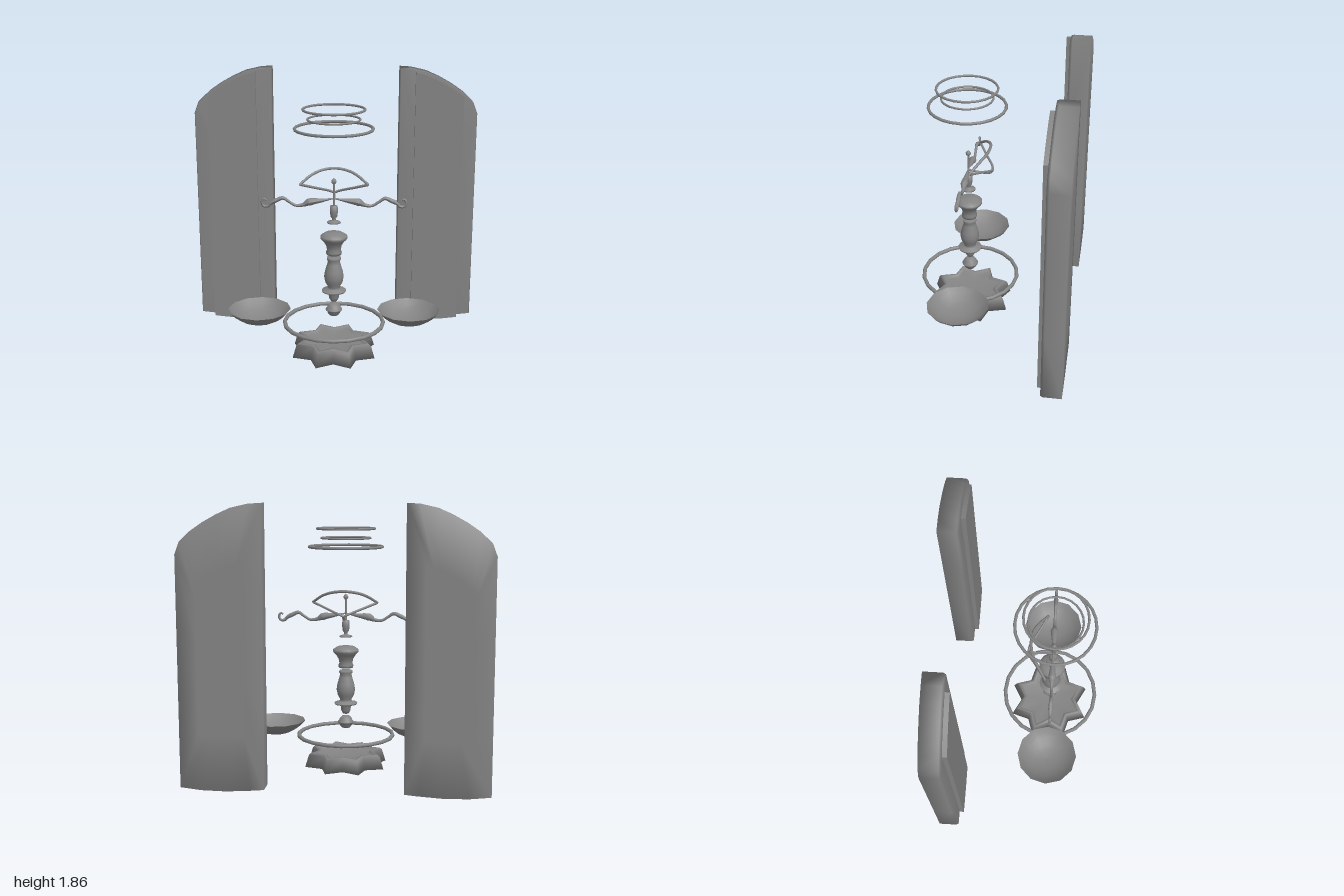
import * as THREE from 'three';
import { toCreasedNormals } from 'three/addons/utils/BufferGeometryUtils.js';

const AXIS_Z = 0.2; // the balance stands in front of the panels
const GREY = 0x848484;
const material = new THREE.MeshStandardMaterial({ color: GREY });
const thin = new THREE.MeshStandardMaterial({ color: GREY, side: THREE.DoubleSide });
const v3 = (p) => new THREE.Vector3(...p);

function add(group, name, geometry, mat = material) {
  const mesh = new THREE.Mesh(geometry, mat);
  mesh.name = name;
  group.add(mesh);
  return mesh;
}

// turned part, profile from bottom to top as [radius, y]
function turned(profile, sides = 16) {
  return new THREE.LatheGeometry(profile.map(([r, y]) => new THREE.Vector2(r, y)), sides);
}

// horizontal ring
function ring(radius, tube, y, sides = 24) {
  return new THREE.TorusGeometry(radius, tube, 8, sides).rotateX(Math.PI / 2).translate(0, y, 0);
}

// tube whose radius follows a list of values along the path
function taperedTube(path, radii, steps, sides = 8) {
  const g = new THREE.TubeGeometry(path, steps, 1, sides, false);
  const pos = g.attributes.position;
  const p = new THREE.Vector3();
  for (let i = 0; i <= steps; i++) {
    const c = path.getPointAt(i / steps);
    const t = (i / steps) * (radii.length - 1);
    const k = Math.min(Math.floor(t), radii.length - 2);
    const r = THREE.MathUtils.lerp(radii[k], radii[k + 1], t - k);
    for (let j = 0; j <= sides; j++) {
      const n = i * (sides + 1) + j;
      p.fromBufferAttribute(pos, n).sub(c).multiplyScalar(r).add(c);
      pos.setXYZ(n, p.x, p.y, p.z);
    }
  }
  g.computeVertexNormals();
  return g;
}

// smooth skin over closed loops of equal length; flip turns it inside out
function skin(loops, flip = false) {
  const n = loops[0].length;
  const index = [];
  for (let i = 0; i < loops.length - 1; i++) {
    for (let j = 0; j < n; j++) {
      const k = (j + 1) % n;
      const [a, b, c, d] = [i * n + j, i * n + k, (i + 1) * n + k, (i + 1) * n + j];
      index.push(...(flip ? [a, c, b, a, d, c] : [a, b, c, a, c, d]));
    }
  }
  const g = new THREE.BufferGeometry();
  g.setAttribute('position', new THREE.Float32BufferAttribute(loops.flat(2), 3));
  g.setIndex(index);
  g.computeVertexNormals();
  return g;
}

// eight-pointed star outline
function starLoop([scale, y], outer, inner, points = 8) {
  return Array.from({ length: points * 2 }, (_, j) => {
    const a = ((j + 1) / points) * Math.PI;
    const r = scale * (j % 2 ? inner : outer);
    return [r * Math.sin(a), y, r * Math.cos(a)];
  });
}

// softly shaded panel: the outline shrunk by [sx, sy] about its middle at each depth
function panelSkin(outline, side) {
  const levels = [[0.001, 0.001, -0.557], [0.55, 0.6, -0.557], [1, 1, -0.557], [1, 1, -0.435],
    [0.975, 0.995, -0.418], [0.55, 0.6, -0.415], [0.001, 0.001, -0.415]];
  const [cx, cy] = [0.725, 0.9];
  const loops = levels.map(([sx, sy, z]) => outline.map(([x, y]) =>
    [side * (cx + (x - cx) * sx), cy + (y - cy) * sy, z]));
  return skin(loops, side < 0);
}

// flat plate cut from an outline, mirrored by side
function plateSlab(outline, side) {
  const shape = new THREE.Shape(outline.map(([x, y]) => new THREE.Vector2(side * x, y)));
  const g = new THREE.ExtrudeGeometry(shape, { depth: 0.042, bevelEnabled: false });
  return toCreasedNormals(g.translate(0, 0, -0.43), 0.7);
}

export function createModel() {
  const model = new THREE.Group();

  // tall arched panels with a raised front plate
  const body = [[0.45, 0.03], [0.54, 0.022], [0.7, 0.012], [0.86, 0.015], [1, 0.03], [1, 0.5], [1, 1.1],
    [1, 1.54], [0.97, 1.62], [0.9, 1.685], [0.82, 1.74], [0.73, 1.79], [0.64, 1.83], [0.53, 1.855],
    [0.45, 1.86], [0.45, 1.3], [0.45, 0.6]];
  const plate = [[0.56, 0.018], [0.7, 0], [0.8, 0.003], [0.9, 0.015], [0.9, 1.665],
    [0.82, 1.725], [0.73, 1.775], [0.64, 1.815], [0.56, 1.838]];
  for (const side of [1, -1]) {
    const panel = new THREE.Group();
    panel.name = side > 0 ? 'leftPanel' : 'rightPanel';
    add(panel, 'panelBody', panelSkin(body, side));
    add(panel, 'panelPlate', plateSlab(plate, side));
    model.add(panel);
  }

  const balance = new THREE.Group();
  balance.name = 'balance';
  balance.position.z = AXIS_Z;
  model.add(balance);

  // star foot with a recessed top
  const foot = [[0.001, 0], [1, 0], [0.91, 0.085], [0.86, 0.098], [0.78, 0.098], [0.74, 0.075], [0.001, 0.075]];
  add(balance, 'starBase', skin(foot.map((level) => starLoop(level, 0.3, 0.215))));

  // floating rings
  add(balance, 'baseRing', ring(0.335, 0.014, 0.219, 20));
  add(balance, 'lowerRing', ring(0.255, 0.01, 1.553));
  add(balance, 'middleRing', ring(0.171, 0.007, 1.613));
  add(balance, 'upperRing', ring(0.201, 0.008, 1.678));

  // turned column, in separate pieces
  add(balance, 'columnBall', turned([[0, 0.265], [0.03, 0.27], [0.042, 0.285], [0.048, 0.304],
    [0.056, 0.306], [0.056, 0.312], [0.048, 0.322], [0.042, 0.337], [0.028, 0.352], [0, 0.358]]));
  add(balance, 'columnVase', turned([[0, 0.365], [0.022, 0.372], [0.034, 0.395], [0.036, 0.425],
    [0.045, 0.435], [0.08, 0.44], [0.082, 0.45], [0.045, 0.46], [0.04, 0.475], [0.058, 0.505],
    [0.066, 0.545], [0.06, 0.585], [0.045, 0.635], [0.04, 0.655], [0.048, 0.668], [0.046, 0.682], [0, 0.682]]));
  add(balance, 'columnCapital', turned([[0, 0.703], [0.05, 0.703], [0.054, 0.72], [0.046, 0.735],
    [0.052, 0.765], [0.07, 0.795], [0.09, 0.815], [0.09, 0.832], [0.06, 0.852], [0, 0.856]]));
  add(balance, 'columnCup', turned([[0, 0.922], [0.046, 0.922], [0.044, 0.929], [0.014, 0.938],
    [0.012, 0.95], [0.022, 0.965], [0.027, 1.0], [0.025, 1.037], [0, 1.04]]));
  add(balance, 'spindle', turned([[0, 1.03], [0.007, 1.03], [0.007, 1.185], [0.016, 1.195],
    [0.018, 1.205], [0.011, 1.217], [0, 1.226]], 10));

  // beam arms: wedge, wave and curled hook
  const armPath = [[0, 1.088], [0.08, 1.075], [0.165, 1.062], [0.2, 1.045], [0.25, 1.04], [0.295, 1.065],
    [0.335, 1.09], [0.38, 1.073], [0.415, 1.055], [0.435, 1.035], [0.465, 1.037], [0.474, 1.065],
    [0.46, 1.085], [0.445, 1.075]];
  for (const side of [1, -1]) {
    const name = side > 0 ? 'left' : 'right';
    const path = new THREE.CatmullRomCurve3(armPath.map(([x, y]) => new THREE.Vector3(side * x, y, 0)));
    add(balance, name + 'Arm', taperedTube(path,
      [0.004, 0.008, 0.014, 0.02, 0.026, 0.013, 0.01, 0.009, 0.01, 0.013, 0.015, 0.011, 0.009, 0.008, 0.006], 70), thin);

    // shallow weighing pan
    const pan = add(balance, name + 'Pan', turned([[0, 0.21], [0.05, 0.213], [0.1, 0.226],
      [0.145, 0.248], [0.182, 0.277], [0.212, 0.31]], 12), thin);
    pan.position.x = side * 0.505;
  }

  // arched dial behind the spindle, leaning back at the crown
  const arch = new THREE.Group();
  arch.name = 'dialArch';
  balance.add(arch);
  const crown = [[-0.225, 1.17, -0.045], [-0.15, 1.222, -0.1], [-0.08, 1.247, -0.137], [0, 1.256, -0.15],
    [0.08, 1.247, -0.137], [0.15, 1.222, -0.1], [0.225, 1.17, -0.045]];
  add(arch, 'dialCrown', taperedTube(new THREE.CatmullRomCurve3(crown.map(v3)), [0.009, 0.01, 0.009], 32), thin);
  for (const side of [1, -1]) {
    const leg = [[side * 0.225, 1.17, -0.045], [side * 0.13, 1.135, -0.1], [side * 0.03, 1.098, -0.16],
      [0, 1.085, -0.165]];
    add(arch, 'dialLeg', taperedTube(new THREE.CatmullRomCurve3(leg.map(v3)), [0.009, 0.008], 20), thin);
  }
  const stem = [[0, 1.088, -0.165], [0, 1.068, -0.15], [0, 1.062, -0.1], [0, 1.07, -0.04], [0, 1.075, 0]];
  add(arch, 'dialStem', taperedTube(new THREE.CatmullRomCurve3(stem.map(v3)), [0.009, 0.007], 16), thin);

  return model;
}
